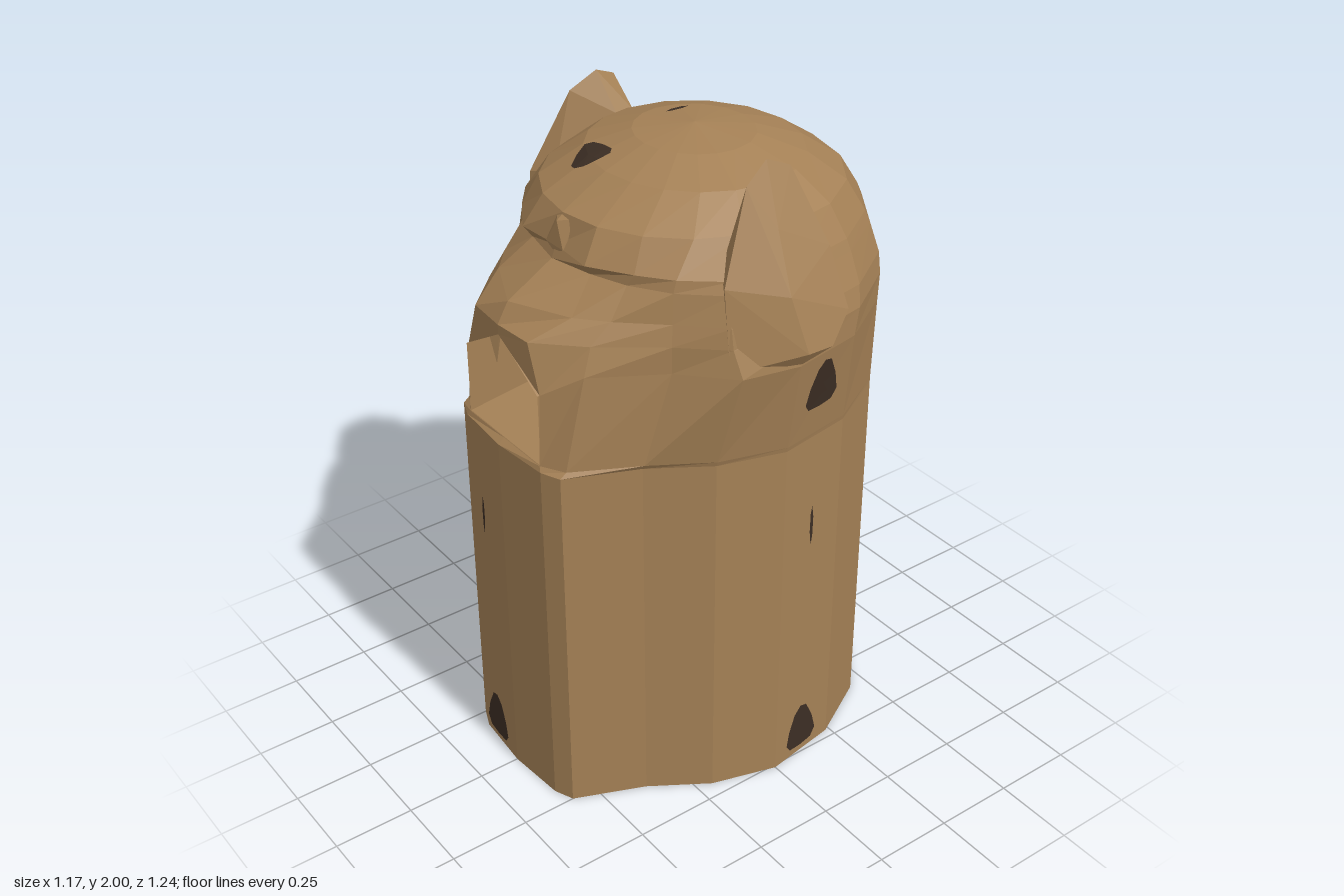
import * as THREE from 'three';
import { ConvexGeometry } from 'three/addons/geometries/ConvexGeometry.js';

const tan = new THREE.MeshStandardMaterial({ color: 0xa58156, side: THREE.DoubleSide });
tan.name = 'tan';
const dark = new THREE.MeshStandardMaterial({ color: 0x3c2e24, side: THREE.DoubleSide });
dark.name = 'darkBrown';

// Flat-shaded geometry from a list of triangles of Vector3
function facets(tris) {
  const g = new THREE.BufferGeometry().setFromPoints(tris.flat());
  g.computeVertexNormals();
  return g;
}

function addMesh(group, name, geometry, material) {
  const m = new THREE.Mesh(geometry, material);
  m.name = name;
  group.add(m);
  return m;
}

// One body ring: the back half is an arc, the front half is an arc or five given points [x, z, y?]
function ring(y, sideX, backZ, midZ, front) {
  const half = [];
  for (let i = 0; i < 5; i++) {
    const a = (i * Math.PI) / 8;
    half.push(new THREE.Vector3(sideX * Math.sin(a), y, midZ - (midZ - backZ) * Math.cos(a)));
  }
  for (let i = 1; i < 6; i++) {
    const a = (i * Math.PI) / 10;
    const [x, z, py = y] = Array.isArray(front)
      ? front[i - 1]
      : [i === 5 ? 0 : sideX * Math.cos(a), midZ + (front - midZ) * Math.sin(a)];
    half.push(new THREE.Vector3(x, py, z));
  }
  const mirrored = half.slice(1, -1).reverse().map((p) => new THREE.Vector3(-p.x, p.y, p.z));
  return [...half, ...mirrored];
}

function bodyGeometry() {
  const column = [[0.45, 0.2], [0.34, 0.37], [0.25, 0.58], [0.19, 0.605], [0, 0.62]];
  const rings = [
    ring(0, 0.51, -0.62, 0, column),
    ring(1.165, 0.51, -0.62, 0, column),
    // jaw, muzzle and brow
    ring(1.18, 0.513, -0.617, 0, [[0.455, 0.2], [0.35, 0.37], [0.25, 0.56], [0.18, 0.6], [0, 0.6]]),
    ring(1.46, 0.555, -0.59, 0, [[0.52, 0.17], [0.38, 0.3], [0.26, 0.5], [0.18, 0.59, 1.4], [0, 0.6, 1.51]]),
    ring(1.54, 0.55, -0.588, -0.03, [[0.49, 0.18], [0.38, 0.3], [0.25, 0.47], [0.13, 0.59], [0, 0.6]]),
    ring(1.6, 0.53, -0.585, -0.05, [[0.48, 0.18], [0.37, 0.29], [0.26, 0.41], [0.18, 0.48], [0, 0.565]]),
    ring(1.685, 0.49, -0.56, -0.06, [[0.46, 0.17], [0.36, 0.28], [0.25, 0.35], [0.14, 0.39], [0, 0.42]]),
    ring(1.72, 0.475, -0.545, -0.06, [[0.45, 0.16], [0.36, 0.27], [0.27, 0.34], [0.15, 0.415], [0, 0.405]]),
    // skull
    ring(1.81, 0.42, -0.49, -0.06, 0.38),
    ring(1.89, 0.32, -0.37, -0.06, 0.24),
    ring(1.937, 0.18, -0.23, -0.06, 0.11),
    ring(1.957, 0, -0.06, -0.06, -0.06),
  ];
  const tris = [];
  for (let j = 0; j < rings.length - 1; j++) {
    const lo = rings[j], hi = rings[j + 1], n = lo.length;
    for (let i = 0; i < n; i++) {
      if (j === 2 && (i === 8 || i === 9)) continue; // mouth opening
      const k = (i + 1) % n;
      tris.push([lo[i], hi[i], lo[k]]);
      if (j < rings.length - 2) tris.push([lo[k], hi[i], hi[k]]);
    }
  }
  return facets(tris);
}

// Recess behind the mouth opening: five walls and a back
function mouthGeometry() {
  const loop = (x, bottom, side, top, z) =>
    [[-x, bottom], [x, bottom], [x, side], [0, top], [-x, side]].map(([a, b]) => new THREE.Vector3(a, b, z));
  const rim = loop(0.18, 1.18, 1.4, 1.51, 0.597);
  const back = loop(0.18, 1.22, 1.41, 1.5, 0.3);
  const tris = [[back[0], back[1], back[2]], [back[0], back[2], back[4]], [back[4], back[2], back[3]]];
  for (let i = 0; i < 5; i++) {
    const k = (i + 1) % 5;
    tris.push([rim[i], rim[k], back[i]], [rim[k], back[k], back[i]]);
  }
  return facets(tris);
}

function hull(points, side = 1) {
  return new ConvexGeometry(points.map(([x, y, z]) => new THREE.Vector3(side * x, y, z)));
}

// Outlines of the markings in units of half width and half height
const blunt = [[-0.7, -0.95], [0, -1], [0.75, -0.95], [1, -0.65], [0.85, 0], [0.5, 0.7], [0.1, 1], [-0.3, 0.9], [-0.75, 0.15], [-1, -0.6]];
const sliver = [[0, -1], [0.6, -0.3], [0.5, 0.6], [0, 1], [-0.6, 0.4], [-0.5, -0.5]];

// Ray directions and the point each (u, v) starts from
const sides = {
  front: [new THREE.Vector3(0, 0, -1), (u, v) => new THREE.Vector3(u, v, 3)],
  back: [new THREE.Vector3(0, 0, 1), (u, v) => new THREE.Vector3(u, v, -3)],
  left: [new THREE.Vector3(-1, 0, 0), (u, v) => new THREE.Vector3(3, v, u)],
  right: [new THREE.Vector3(1, 0, 0), (u, v) => new THREE.Vector3(-3, v, u)],
  top: [new THREE.Vector3(0, -1, 0), (u, v) => new THREE.Vector3(u, 3, v)],
};

// Thin marking laid over the surface it is projected on
function marking(targets, side, outline, u, v, halfW, halfH) {
  const [dir, start] = sides[side];
  const at = ([a, b], s) => {
    const origin = start(u + a * halfW * s, v + b * halfH * s);
    const hit = new THREE.Raycaster(origin, dir).intersectObjects(targets)[0];
    return (hit ? hit.point : origin).clone().addScaledVector(dir, -0.005);
  };
  const centre = at([0, 0], 0);
  const flip = side === 'back' || side === 'left' || side === 'top';
  const tris = [];
  outline.forEach((p, i) => {
    const q = outline[(i + 1) % outline.length];
    const [a, b, c, d] = [at(p, 0.5), at(q, 0.5), at(p, 1), at(q, 1)];
    tris.push([centre, a, b], [a, c, d], [a, d, b]);
  });
  return facets(flip ? tris.map(([a, b, c]) => [a, c, b]) : tris);
}

export function createModel() {
  const model = new THREE.Group();
  model.name = 'animalHeadColumn';
  const body = addMesh(model, 'columnAndHead', bodyGeometry(), tan);
  const mouth = addMesh(model, 'mouthRecess', mouthGeometry(), tan);

  // Pointed ears, broad at the base, and upper fangs
  const ear = [
    [0.386, 2, 0], [0.405, 1.95, 0.08], [0.46, 1.71, 0.19], [0.49, 1.47, 0.19], [0.4, 1.97, -0.07],
    [0.5, 1.76, -0.13], [0.565, 1.59, -0.15], [0.587, 1.51, -0.08], [0.56, 1.47, 0], [0.585, 1.51, 0],
    [0.54, 1.67, 0.03], [0.466, 1.836, 0.02], [0.317, 1.885, -0.02], [0.317, 1.88, -0.08],
    [0.4, 1.75, -0.14], [0.39, 1.72, 0.15],
  ];
  for (const s of [1, -1]) {
    const name = s > 0 ? 'left' : 'right';
    addMesh(model, name + 'Ear', hull(ear, s), tan);
    const fang = new THREE.ConeGeometry(0.022, 0.11, 4).toNonIndexed();
    fang.computeVertexNormals();
    const tooth = addMesh(model, name + 'Fang', fang, tan);
    tooth.rotation.x = Math.PI;
    tooth.position.set(s * 0.1, 1.41, 0.55);
  }

  // Small ridge in the middle of the brow
  addMesh(model, 'browRidge', hull([
    [0, 1.82, 0.36], [0.04, 1.8, 0.37], [-0.04, 1.8, 0.37], [0.04, 1.72, 0.41], [-0.04, 1.72, 0.41],
    [0, 1.7, 0.41], [0, 1.79, 0.4], [0.04, 1.73, 0.3], [-0.04, 1.73, 0.3],
  ]), tan);

  // Markings repeat on all four sides and the crown
  const targets = [body, mouth];
  for (const side of ['front', 'back', 'left', 'right']) {
    addMesh(model, side + 'LowerSpot', marking(targets, side, blunt, -0.11, 0.107, 0.065, 0.08), dark);
    addMesh(model, side + 'Sliver', marking(targets, side, sliver, -0.115, 0.86, 0.011, 0.07), dark);
    addMesh(model, side + 'UpperSpot', marking(targets, side, blunt, -0.11, 1.357, 0.065, 0.08), dark);
  }
  addMesh(model, 'crownSpot', marking(targets, 'top', blunt, -0.11, 0.22, 0.06, 0.05), dark);
  addMesh(model, 'crownSliver', marking(targets, 'top', sliver, -0.12, -0.09, 0.014, 0.04), dark);
  return model;
}
